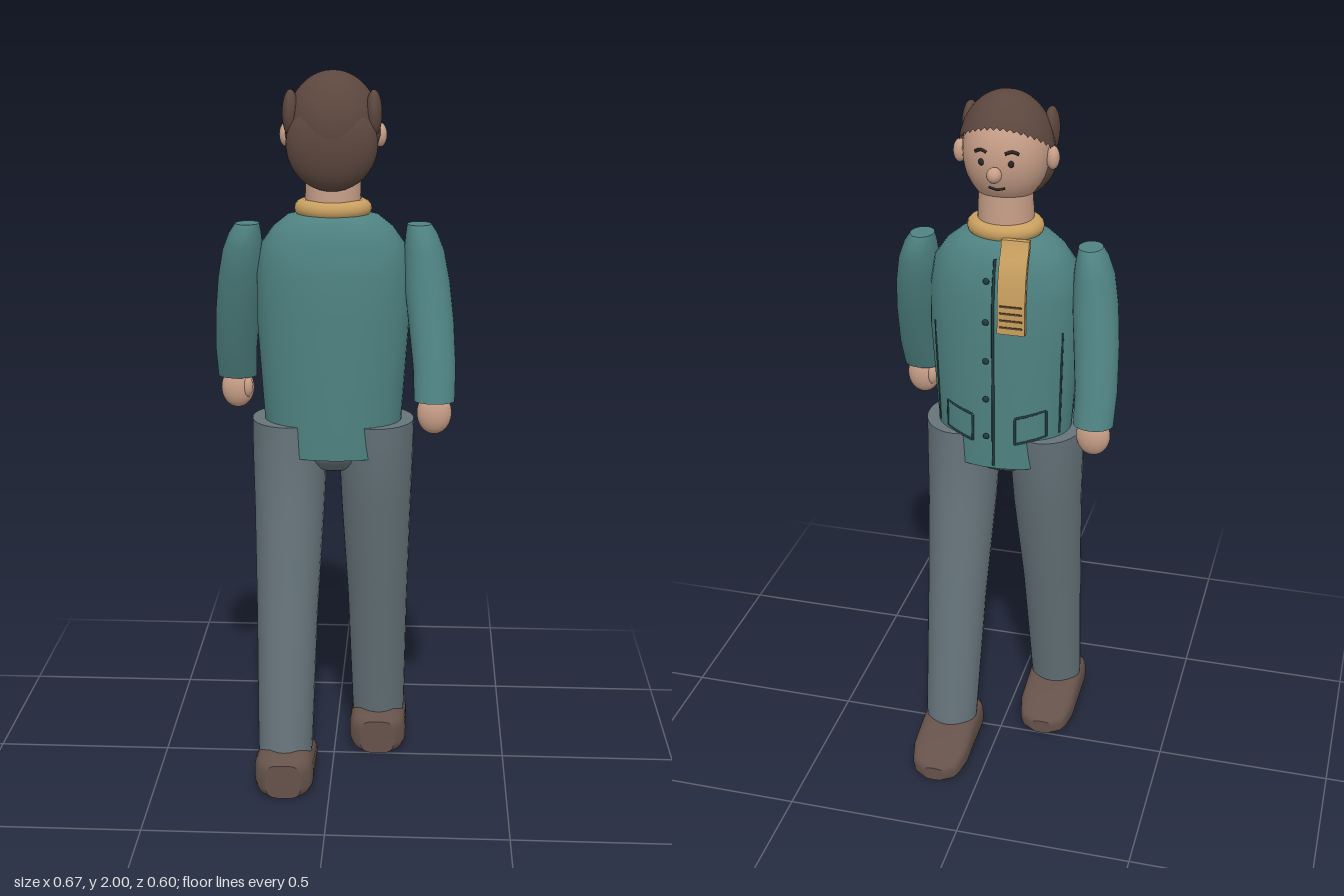
import * as THREE from 'three';

const mat = (name, color) => {
  const m = new THREE.MeshStandardMaterial({ color });
  m.name = name;
  return m;
};

// Closed skin over rings [cx, y, cz, rx, rz]; n is the squareness of each ring
function loft(rings, n = 2, seg = 28) {
  const pos = [], idx = [];
  const bend = (v) => Math.sign(v) * Math.abs(v) ** (2 / n);
  const addRing = ([cx, y, cz, rx, rz]) => {
    for (let i = 0; i < seg; i++) {
      const a = (i / seg) * Math.PI * 2;
      pos.push(cx + rx * bend(Math.cos(a)), y, cz + rz * bend(Math.sin(a)));
    }
  };
  rings.forEach(addRing);
  for (let r = 0; r < rings.length - 1; r++) {
    for (let i = 0; i < seg; i++) {
      const a = r * seg + i, b = r * seg + (i + 1) % seg;
      idx.push(a, a + seg, b, b, a + seg, b + seg);
    }
  }
  // Flat end caps with their own vertices
  [[rings[0], false], [rings[rings.length - 1], true]].forEach(([ring, top]) => {
    const start = pos.length / 3;
    addRing(ring);
    pos.push(ring[0], ring[1], ring[2]);
    for (let i = 0; i < seg; i++) {
      const a = start + i, b = start + (i + 1) % seg;
      idx.push(start + seg, top ? b : a, top ? a : b);
    }
  });
  const g = new THREE.BufferGeometry();
  g.setAttribute('position', new THREE.Float32BufferAttribute(pos, 3));
  g.setIndex(idx);
  g.computeVertexNormals();
  return g;
}

const ball = (x, y, z, rx, ry, rz) =>
  new THREE.SphereGeometry(1, 28, 20).scale(rx, ry, rz).translate(x, y, z);

const MID = 0.052; // depth of the body axis

// Jacket rings: [height, half width, half depth]
const TORSO = [
  [0.96, 0.185, 0.134], [1.05, 0.19, 0.136], [1.15, 0.197, 0.137], [1.34, 0.21, 0.139],
  [1.46, 0.208, 0.138], [1.54, 0.195, 0.127], [1.585, 0.163, 0.112], [1.615, 0.125, 0.095], [1.625, 0.07, 0.07],
];

// Depth of the jacket's front at a given point
function chest(x, y, lift = 0) {
  let i = 0;
  while (i < TORSO.length - 2 && y > TORSO[i + 1][0]) i++;
  const [p, q] = [TORSO[i], TORSO[i + 1]];
  const t = THREE.MathUtils.clamp((y - p[0]) / (q[0] - p[0]), 0, 1);
  const a = p[1] + (q[1] - p[1]) * t, b = p[2] + (q[2] - p[2]) * t;
  return MID - b * Math.sqrt(Math.max(0, 1 - (x / a) ** 2)) - lift;
}

export function createModel() {
  const model = new THREE.Group();
  const skin = mat('skin', 0xc89f88), hair = mat('hair', 0x5c473e), teal = mat('jacket teal', 0x4f8282),
    grey = mat('trouser grey', 0x66747b), leather = mat('shoe brown', 0x65524a),
    gold = mat('scarf gold', 0xc9a060), dark = mat('seam dark', 0x1f3a3d), ink = mat('face dark', 0x2b2422);
  const stripe = mat('scarf stripe', 0x5f4828);
  const add = (name, geo, m) => {
    const mesh = new THREE.Mesh(geo, m);
    mesh.name = name;
    model.add(mesh);
    return mesh;
  };

  // Jacket body and pelvis
  add('jacket', loft(TORSO.map(([y, a, b]) => [0, y, MID, a, b]), 2.1, 40), teal);
  add('pelvis', ball(0, 0.99, MID, 0.15, 0.092, 0.11), grey);

  // Limbs: s is the side, the left leg and right arm swing forward
  for (const s of [1, -1]) {
    const side = s > 0 ? 'left' : 'right';
    add(side + 'Leg', loft([
      [s * 0.128, 0.09, MID - s * 0.15, 0.074, 0.068],
      [s * 0.128, 0.13, MID - s * 0.146, 0.077, 0.071],
      [s * 0.125, 0.5, MID - s * 0.082, 0.086, 0.09],
      [s * 0.121, 0.8, MID - s * 0.024, 0.098, 0.112],
      [s * 0.12, 0.96, MID - s * 0.006, 0.104, 0.122],
      [s * 0.12, 1.05, MID, 0.105, 0.127],
    ]), grey);

    // Shoe: [distance from heel, half width, height]
    const shoe = loft([
      [0, 0.05, 0.1], [0.015, 0.074, 0.115], [0.04, 0.083, 0.13], [0.08, 0.083, 0.125],
      [0.15, 0.083, 0.11], [0.22, 0.083, 0.088], [0.265, 0.073, 0.068], [0.285, 0.062, 0.055], [0.3, 0.03, 0.042],
    ].map(([t, w, h]) => [s * 0.128, t, h / 2, w, h / 2]), 3.5, 32);
    shoe.rotateX(-Math.PI / 2).translate(0, 0, s > 0 ? 0 : 0.3);
    add(side + 'Shoe', shoe, leather);

    add(side + 'Sleeve', loft([
      [s * 0.28, 1.135, MID + s * 0.132, 0.055, 0.046],
      [s * 0.279, 1.22, MID + s * 0.1, 0.058, 0.055],
      [s * 0.268, 1.34, MID + s * 0.058, 0.062, 0.062],
      [s * 0.256, 1.44, MID + s * 0.025, 0.062, 0.066],
      [s * 0.247, 1.52, MID + s * 0.006, 0.055, 0.066],
      [s * 0.24, 1.565, MID, 0.044, 0.058],
      [s * 0.233, 1.592, MID - s * 0.005, 0.033, 0.042],
    ]), teal);
    add(side + 'Hand', ball(s * 0.28, 1.1, MID + s * 0.13, 0.047, 0.058, 0.033), skin);
    add(side + 'Thumb', ball(s * 0.25, 1.105, MID + s * 0.115, 0.015, 0.03, 0.017), skin);
  }

  // Neck, scarf collar and head
  add('neck', new THREE.CylinderGeometry(0.074, 0.078, 0.16, 28).translate(0, 1.66, MID + 0.002), skin);
  add('scarfCollar', new THREE.TorusGeometry(0.079, 0.026, 14, 36).rotateX(Math.PI / 2)
    .scale(1, 0.95, 0.87).translate(0, 1.635, MID), gold);
  add('head', ball(0, 1.842, 0.06, 0.117, 0.147, 0.116), skin);

  // Hair cap: a sphere whose rim drops from the forehead to the nape
  const cap = new THREE.SphereGeometry(1, 40, 20);
  const p = cap.attributes.position, uv = cap.attributes.uv;
  for (let i = 0; i < p.count; i++) {
    const phi = uv.getX(i) * Math.PI * 2;
    const back = Math.sin(phi); // 1 at the back, -1 at the face
    const limit = back < 0 ? 1.6 + 0.55 * back : 1.6 + 1.0 * back;
    const th = (1 - uv.getY(i)) * limit;
    p.setXYZ(i, -Math.cos(phi) * Math.sin(th) * 0.128, 1.845 + Math.cos(th) * 0.155, 0.063 + back * Math.sin(th) * 0.123);
  }
  cap.computeVertexNormals();
  hair.side = THREE.DoubleSide;
  add('hairCap', cap, hair);
  add('hairBack', ball(0, 1.81, 0.125, 0.122, 0.123, 0.061), hair);

  // Face features
  const faceZ = (x, y) => 0.06 - 0.116 * Math.sqrt(1 - (x / 0.117) ** 2 - ((y - 1.842) / 0.147) ** 2);
  const line = (name, pts, depth, r, m) => add(name, new THREE.TubeGeometry(
    new THREE.CatmullRomCurve3(pts.map(([x, y]) => new THREE.Vector3(x, y, depth(x, y)))), 16, r, 6), m);
  add('nose', ball(0, 1.812, -0.07, 0.02, 0.021, 0.021), skin);
  line('mouth', [[-0.022, 1.768], [0, 1.763], [0.022, 1.768]], faceZ, 0.0035, ink);
  for (const s of [1, -1]) {
    add('ear', ball(s * 0.126, 1.83, 0.055, 0.018, 0.032, 0.021), skin);
    add('sideLock', ball(s * 0.11, 1.89, 0.105, 0.022, 0.062, 0.038), hair);
    add('eye', ball(s * 0.04, 1.838, faceZ(0.04, 1.838), 0.008, 0.009, 0.005), ink);
    line('brow', [[s * 0.024, 1.865], [s * 0.042, 1.87], [s * 0.058, 1.863]], faceZ, 0.0045, ink);
  }

  // Jacket seams, pocket outlines and buttons
  const seam = (name, pts) => {
    for (let i = 0; i < pts.length - 1; i++) {
      const [a, b] = [pts[i], pts[i + 1]];
      const steps = [0, 0.25, 0.5, 0.75, 1].map((t) => [a[0] + (b[0] - a[0]) * t, a[1] + (b[1] - a[1]) * t]);
      line(name, steps, (x, y) => chest(x, y, 0.001), 0.004, dark);
    }
  };
  seam('placket', [[0, 1.58], [0, 1.3], [0, 0.97]]);
  for (const s of [1, -1]) {
    seam('sideSeam', [[s * 0.178, 1.37], [s * 0.17, 1.06]]);
    seam('pocket', [[s * 0.06, 1.12], [s * 0.14, 1.14], [s * 0.14, 1.06], [s * 0.06, 1.04], [s * 0.06, 1.12]]);
  }
  for (let i = 0; i < 5; i++) {
    const y = 1.52 - i * 0.115;
    add('button', ball(0.02, y, chest(0.02, y, 0.002), 0.009, 0.009, 0.005), dark);
  }

  // Hanging scarf end laid on the chest, with stripes
  const TX = -0.052;
  const tail = new THREE.BoxGeometry(0.076, 0.25, 0.016, 4, 10, 1).translate(TX, 1.505, 0);
  const q = tail.attributes.position;
  for (let i = 0; i < q.count; i++) {
    const z = Math.min(chest(TX, q.getY(i)), -0.034);
    q.setZ(i, z + q.getZ(i) - 0.007);
  }
  tail.computeVertexNormals();
  add('scarfTail', tail, gold);
  for (let i = 0; i < 4; i++) {
    const y = 1.4 + i * 0.02;
    add('scarfStripe', new THREE.BoxGeometry(0.062, 0.005, 0.004).translate(TX, y, chest(TX, y) - 0.0155), stripe);
  }
  return model;
}
